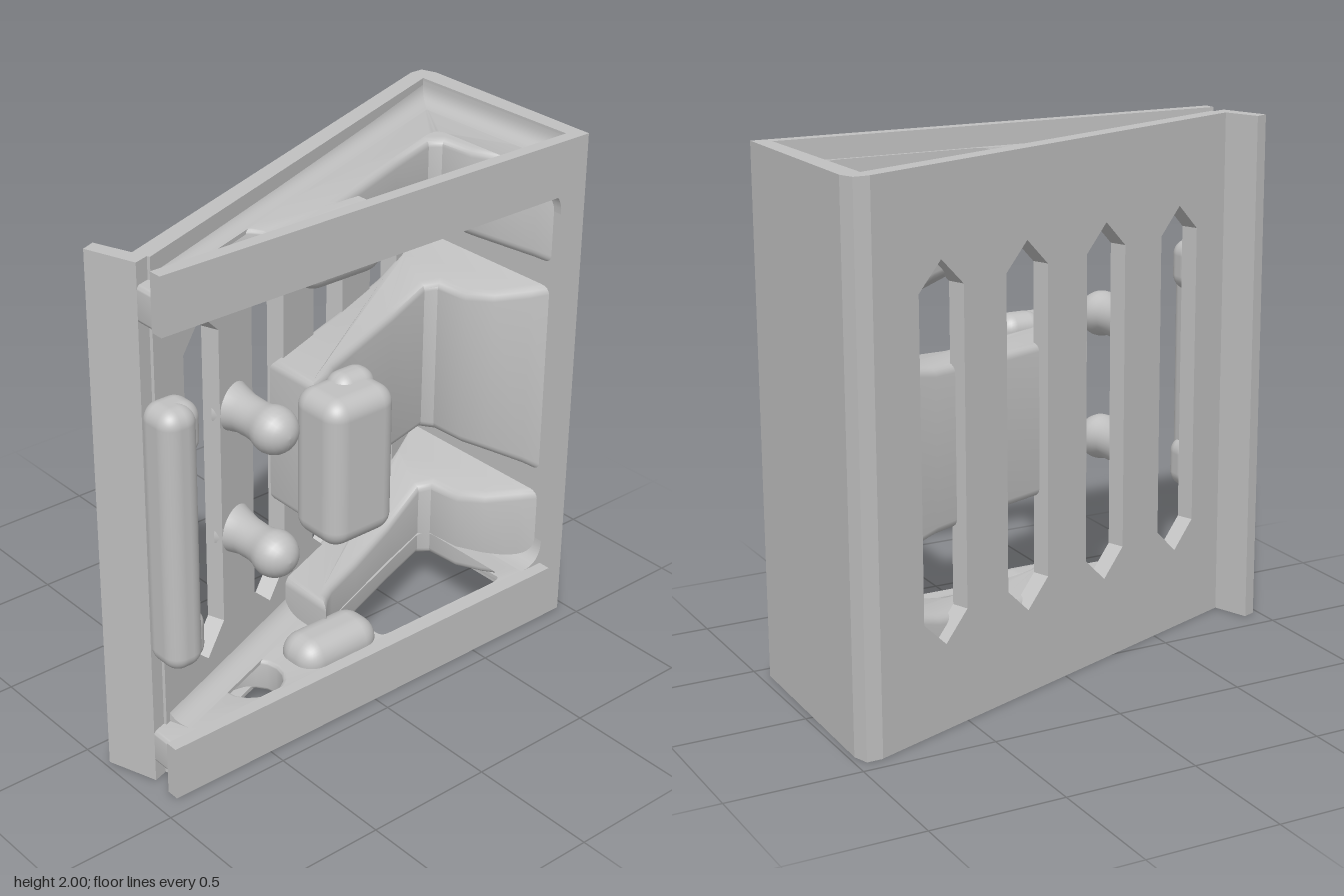
import * as THREE from 'three';
import { toCreasedNormals } from 'three/addons/utils/BufferGeometryUtils.js';
import { RoundedBoxGeometry } from 'three/addons/geometries/RoundedBoxGeometry.js';

export function createModel() {
  const model = new THREE.Group();
  model.name = 'wedgeStand';
  const grey = new THREE.MeshStandardMaterial({ color: 0xc0c0c0 });
  grey.name = 'grey plastic';

  const add = (name, geometry, x = 0, y = 0, z = 0) => {
    const mesh = new THREE.Mesh(geometry, grey);
    mesh.name = name;
    mesh.position.set(x, y, z);
    model.add(mesh);
    return mesh;
  };
  // z of the slanted plate's inner face at a given x
  const inner = (x) => 0.285 - 0.366 * (x + 0.88);
  // plan outline given as [x, z] pairs
  const outline = (pts) => new THREE.Shape(pts.map(([x, z]) => new THREE.Vector2(x, -z)));
  // extrude a plan outline from y0 up to y1, optionally with rounded edges
  const prism = (shape, y0, y1, bevel = 0) => {
    const g = new THREE.ExtrudeGeometry(shape, {
      depth: y1 - y0 - 2 * bevel, bevelEnabled: bevel > 0, bevelSize: bevel, bevelThickness: bevel,
      bevelOffset: -bevel, bevelSegments: 4, curveSegments: 8,
    });
    g.rotateX(-Math.PI / 2);
    g.translate(0, y0 + bevel, 0);
    return g;
  };

  // Slanted plate with four pointed slots
  const angle = 0.359, run = Math.cos(angle), W = 1.78 / run;
  const plate = new THREE.Shape([[0, 0], [W, 0], [W, 2], [0, 2]].map((p) => new THREE.Vector2(...p)));
  for (const x of [-0.6, -0.195, 0.21, 0.615]) {
    const s = (x - 0.016 + 0.88) / run, h = 0.109;
    plate.holes.push(new THREE.Path([
      [s - h, 0.42], [s, 0.32], [s + h, 0.42], [s + h, 1.58], [s, 1.68], [s - h, 1.58],
    ].map((p) => new THREE.Vector2(...p))));
  }
  add('slantedPlate', new THREE.ExtrudeGeometry(plate, { depth: 0.068, bevelEnabled: false }), -0.88, 0, 0.23)
    .rotation.y = angle;

  // Lip, end wall and the two front rails
  add('lip', prism(outline([[-0.98, 0.11], [-0.93, 0.09], [-0.878, 0.23], [-0.85, 0.28], [-0.915, 0.3]]), 0, 2));
  add('endWall', prism(outline([
    [0.9, -0.44], [0.96, -0.44], [0.98, -0.38], [0.963, 0.43], [0.9, 0.43], [0.9, 0.38],
  ]), 0, 2));
  for (const y of [0.105, 1.895]) add('frontRail', new THREE.BoxGeometry(1.86, 0.21, 0.05), 0.01, y, 0.405);

  // Side webs with a large triangular opening and a small round one
  const web = outline([[-0.915, 0.27], [-0.85, inner(-0.85) - 0.03], [0.93, inner(0.93) - 0.03], [0.93, 0.395], [-0.915, 0.395]]);
  const big = new THREE.Path();
  big.moveTo(-0.04, -0.165);
  big.lineTo(0.65, 0.09);
  big.quadraticCurveTo(0.735, 0.115, 0.735, 0.03);
  big.lineTo(0.735, -0.29);
  big.quadraticCurveTo(0.735, -0.38, 0.65, -0.38);
  big.lineTo(0.12, -0.38);
  big.quadraticCurveTo(0.07, -0.38, 0.07, -0.33);
  big.lineTo(0.075, -0.21);
  big.lineTo(-0.01, -0.21);
  const small = new THREE.Path();
  small.absellipse(-0.453, -0.265, 0.115, 0.11, 0, Math.PI * 2);
  web.holes.push(big, small);
  for (const y of [0.08, 1.79]) add('sideWeb', toCreasedNormals(prism(web, y, y + 0.13, 0.015), 0.8));

  // Concave fillets blending the webs into the plate and the end wall
  const up = new THREE.Vector3(0, 1, 0);
  const fillet = (a, b, y, sign, size) => {
    const [from, to] = (sign > 0 ? [a, b] : [b, a]).map(([x, z]) => new THREE.Vector3(x, y, z));
    const dir = to.clone().sub(from), depth = dir.length();
    dir.normalize();
    const v = up.clone().multiplyScalar(sign), e = -0.015;
    const s = new THREE.Shape();
    s.moveTo(e, e);
    s.lineTo(size, e);
    s.lineTo(size, 0);
    s.quadraticCurveTo(0, 0, 0, size);
    s.lineTo(e, size);
    const g = new THREE.ExtrudeGeometry(s, { depth, bevelEnabled: false, curveSegments: 8 });
    g.applyMatrix4(new THREE.Matrix4().makeBasis(v.clone().cross(dir), v, dir).setPosition(from));
    add('fillet', toCreasedNormals(g, 0.8));
  };
  const far = [0.9, inner(0.9)], near = [-0.84, inner(-0.84)], front = [0.9, 0.38];
  for (const [y, sign, size] of [[0.21, 1, 0.1], [0.08, -1, 0.07], [1.92, 1, 0.07], [1.79, -1, 0.1]]) {
    fillet(far, near, y, sign, size);
    fillet(front, far, y, sign, size);
  }

  // Beams running under the plate and ramping up the end wall, flaring towards it
  const beamOutline = (start) => outline([
    [start, inner(start) - 0.02], [0.3, inner(0.3) - 0.02], [0.6, inner(0.6) - 0.02], [0.76, inner(0.76) - 0.02],
    [0.93, inner(0.93) - 0.02], [0.93, 0.385], [0.86, 0.29], [0.78, 0.18], [0.73, 0.08], [0.72, -0.06],
    [0.68, -0.09], [0.45, -0.01], [0.2, 0.085], [0.02, 0.155], [-0.03, 0.19], [start, 0.24],
  ]);
  const beam = (name, start, y0, y1, flareLow, flareHigh, power) => {
    const g = prism(beamOutline(start), y0, y1, 0.03);
    const p = g.attributes.position, mid = (y0 + y1) / 2;
    for (let i = 0; i < p.count; i++) {
      const t = Math.pow(Math.max(0, (p.getX(i) - 0.2) / 0.73), power);
      const y = p.getY(i);
      p.setY(i, y < mid ? y - flareLow * t : y + flareHigh * t);
    }
    add(name, toCreasedNormals(g, 0.8));
  };
  beam('centreBeam', -0.14, 0.715, 1.285, 0.12, 0.12, 4);
  beam('sideBeam', -0.08, 0.11, 0.35, 0, 0.18, 2);
  beam('sideBeam', -0.08, 1.65, 1.89, 0.18, 0, 2);

  // Contact pads, flush with the rails
  add('centrePad', new RoundedBoxGeometry(0.3, 0.58, 0.24, 5, 0.07), -0.06, 1, 0.31);
  add('centrePadBase', new RoundedBoxGeometry(0.18, 0.63, 0.13, 4, 0.06), 0, 1, 0.265);
  add('edgePad', new RoundedBoxGeometry(0.145, 1.0, 0.17, 5, 0.06), -0.84, 1, 0.345);
  for (const y of [0.6, 1.4]) add('edgePadEnd', new RoundedBoxGeometry(0.17, 0.2, 0.15, 5, 0.06), -0.825, y, 0.335);
  for (const y of [0.2, 1.8]) add('railSupport', new RoundedBoxGeometry(0.36, 0.19, 0.2, 4, 0.08), -0.1, y, 0.28);

  // Round-headed studs whose flared bases follow the slope of the plate
  const studProfile = [[0.1, 0], [0.085, 0.04], [0.072, 0.1], [0.07, 0.17]].map((p) => new THREE.Vector2(...p));
  for (let i = 0; i <= 8; i++) {
    const a = -0.5 + (i / 8) * (Math.PI / 2 + 0.5);
    studProfile.push(new THREE.Vector2(Math.max(0, 0.087 * Math.cos(a)), 0.253 + 0.087 * Math.sin(a)));
  }
  for (const y of [0.76, 1.25]) {
    const stud = new THREE.LatheGeometry(studProfile, 28);
    stud.rotateX(Math.PI / 2);
    const p = stud.attributes.position;
    for (let i = 0; i < p.count; i++) {
      p.setZ(i, p.getZ(i) - 0.37 * p.getX(i) * Math.max(0, 1 - p.getZ(i) / 0.15));
    }
    stud.computeVertexNormals();
    add('stud', stud, -0.405, y, 0.09);
  }
  return model;
}
